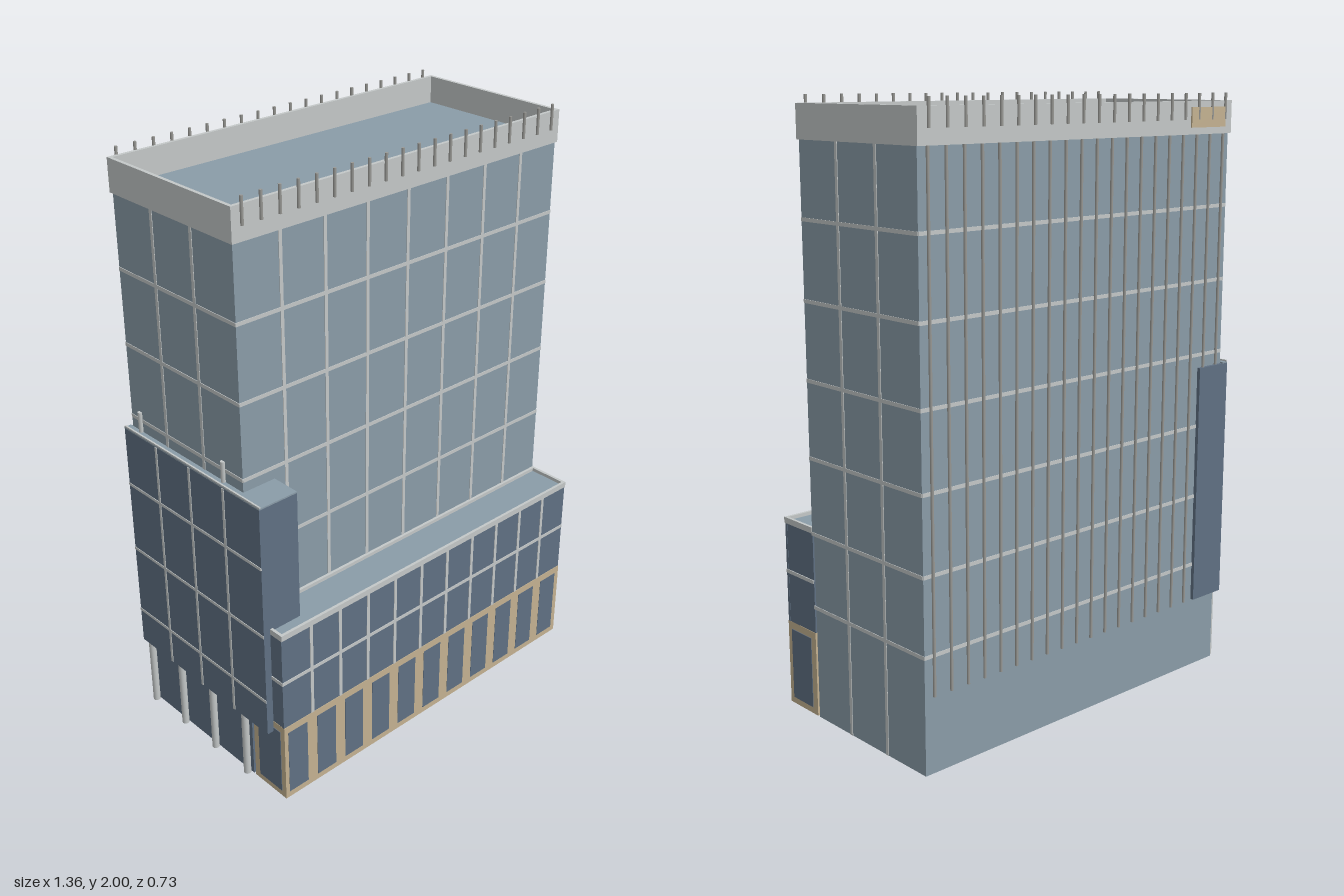
import * as THREE from 'three';

const mat = (name, color) => {
  const m = new THREE.MeshStandardMaterial({ color });
  m.name = name;
  return m;
};

export function createModel() {
  const root = new THREE.Group();
  root.name = 'officeTower';
  const glass = mat('paleGlass', 0x8a9ca8);
  const dark = mat('darkGlass', 0x607083);
  const stone = mat('tanStone', 0xc4b291);
  const trim = mat('paleTrim', 0xc4c8c8);
  const metal = mat('greyMetal', 0x9a9a96);

  const group = (name) => {
    const g = new THREE.Group();
    g.name = name;
    root.add(g);
    return g;
  };
  // Box given by its lower and upper limits on each axis
  const box = (parent, name, m, x0, x1, y0, y1, z0, z1) => {
    const mesh = new THREE.Mesh(new THREE.BoxGeometry(x1 - x0, y1 - y0, z1 - z0), m);
    mesh.position.set((x0 + x1) / 2, (y0 + y1) / 2, (z0 + z1) / 2);
    mesh.name = name;
    parent.add(mesh);
  };
  const rod = (parent, name, m, r, x, y0, y1, z, sides = 8) => {
    const mesh = new THREE.Mesh(new THREE.CylinderGeometry(r, r, y1 - y0, sides), m);
    mesh.position.set(x, (y0 + y1) / 2, z);
    mesh.name = name;
    parent.add(mesh);
  };
  // Four walls around a rectangle
  const ring = (parent, name, m, x0, x1, y0, y1, z0, z1, t) => {
    box(parent, name, m, x0, x1, y0, y1, z1 - t, z1);
    box(parent, name, m, x0, x1, y0, y1, z0, z0 + t);
    box(parent, name, m, x0, x0 + t, y0, y1, z0 + t, z1 - t);
    box(parent, name, m, x1 - t, x1, y0, y1, z0 + t, z1 - t);
  };
  // Thin mullions on a wall facing z or x; p is the wall plane, a0..a1 its width
  const mullions = (parent, axis, p, a0, a1, y0, y1, columns, rows, w = 0.012) => {
    const d = 0.002;
    const strip = (u0, u1, v0, v1) => axis === 'z'
      ? box(parent, 'mullion', trim, u0, u1, v0, v1, p - d, p + d)
      : box(parent, 'mullion', trim, p - d, p + d, v0, v1, u0, u1);
    for (const c of columns) strip(c - w / 2, c + w / 2, y0, y1);
    for (const r of rows) strip(a0, a1, r - w / 2, r + w / 2);
  };
  const steps = (n, start, step) => Array.from({ length: n }, (_, i) => start + i * step);

  const L = -0.655, R = 0.675, B = -0.35, F = 0.21, P = 0.365, T = 0.01;

  // Tower walls, open underneath
  const tower = group('tower');
  box(tower, 'frontWall', glass, L, R, 0.63, 1.88, F - T, F);
  box(tower, 'backWall', glass, L, R, 0, 1.88, B, B + T);
  box(tower, 'leftWall', glass, R - T, R, 0, 1.88, B + T, F - T);
  box(tower, 'rightWall', glass, L, L + T, 1.08, 1.88, B + T, F - T);
  box(tower, 'rightLowerWall', dark, L, L + T, 0, 1.08, B + T, F - T);
  box(tower, 'roof', glass, L, R, 1.87, 1.885, B, F);

  const rows = steps(6, 0.38, 0.25);
  const sideCols = [B + 0.187, B + 0.373];
  mullions(tower, 'z', F, L, R, 0.65, 1.87, steps(7, L + 0.16625, 0.16625), rows.slice(1));
  mullions(tower, 'z', B, L, R, 0, 1.87, [], rows);
  mullions(tower, 'x', R, B, F, 0, 1.87, sideCols, rows);
  mullions(tower, 'x', L, B, F, 1.09, 1.87, sideCols, rows.slice(3));

  // Parapet, roof pins and rear fins
  const crown = group('crown');
  ring(crown, 'parapet', trim, -0.66, 0.68, 1.868, 1.975, -0.359, 0.216, 0.012);
  box(crown, 'rearSignPanel', stone, -0.625, -0.455, 1.89, 1.955, -0.364, -0.358);
  for (const x of steps(20, -0.625, 0.0666)) {
    rod(crown, 'frontPin', metal, 0.005, x, 1.915, 2, 0.219);
    rod(crown, 'backPin', metal, 0.005, x, 1.915, 2, -0.361);
    rod(crown, 'backFin', metal, 0.005, x, 0.25, 1.9, -0.354);
  }

  // Stone base with shop windows
  const base = group('podiumBase');
  box(base, 'baseFront', stone, L, R, 0, 0.29, P - T, P);
  box(base, 'baseLeft', stone, R - T, R, 0, 0.29, F, P - T);
  box(base, 'baseRight', stone, L, L + T, 0, 0.29, F, P - T);
  for (const x of steps(11, -0.6, 0.1215))
    box(base, 'shopWindow', dark, x - 0.04, x + 0.04, 0.022, 0.265, P - 0.002, P + 0.001);
  for (const x of [L, R])
    box(base, 'sideWindow', dark, x - 0.002, x + 0.002, 0.022, 0.265, 0.235, 0.345);

  // Glazed podium storeys
  const podium = group('podium');
  const pf = P - 0.002;
  box(podium, 'podiumFront', dark, L, R, 0.29, 0.63, pf - T, pf);
  box(podium, 'podiumLeft', dark, R - T, R - 0.001, 0.29, 0.63, F, pf - T);
  box(podium, 'podiumRight', dark, L + 0.001, L + T, 0.29, 0.63, F, pf - T);
  box(podium, 'podiumRoof', glass, L + 0.002, R - 0.002, 0.625, 0.638, F, pf - 0.002);
  ring(podium, 'coping', trim, L, R + 0.002, 0.63, 0.65, F, P, 0.01);
  mullions(podium, 'z', pf, L, R, 0.29, 0.63, steps(10, -0.535, 0.121), [0.465]);
  for (const x of [L, R]) mullions(podium, 'x', x, F, pf, 0.29, 0.63, [], [0.465]);

  // Side annex wrapping both corners, raised on columns
  const annex = group('annex');
  const A = -0.68, AF = 0.312;
  box(annex, 'annexSide', dark, A, L, 0.25, 1.085, -0.362, AF);
  box(annex, 'annexFront', dark, L, -0.535, 0.64, 1.085, F, AF);
  box(annex, 'annexBack', dark, L, -0.535, 0.25, 1.085, -0.362, B);
  box(annex, 'annexSideRoof', glass, A, L, 1.085, 1.09, -0.362, AF);
  box(annex, 'annexFrontRoof', glass, L, -0.535, 1.085, 1.09, F, AF);
  box(annex, 'annexEdge', trim, A, A + 0.006, 1.085, 1.095, -0.362, AF);
  mullions(annex, 'x', A, -0.362, AF, 0.25, 1.085, steps(3, -0.193, 0.168), rows.slice(0, 3), 0.01);
  for (const z of [-0.33, -0.16, 0.01, 0.18])
    rod(annex, 'column', trim, 0.0125, -0.667, 0, 0.25, z, 16);
  for (const z of [-0.3, 0.12])
    rod(annex, 'roofPost', trim, 0.008, L - 0.003, 1.09, 1.16, z, 12);

  return root;
}
